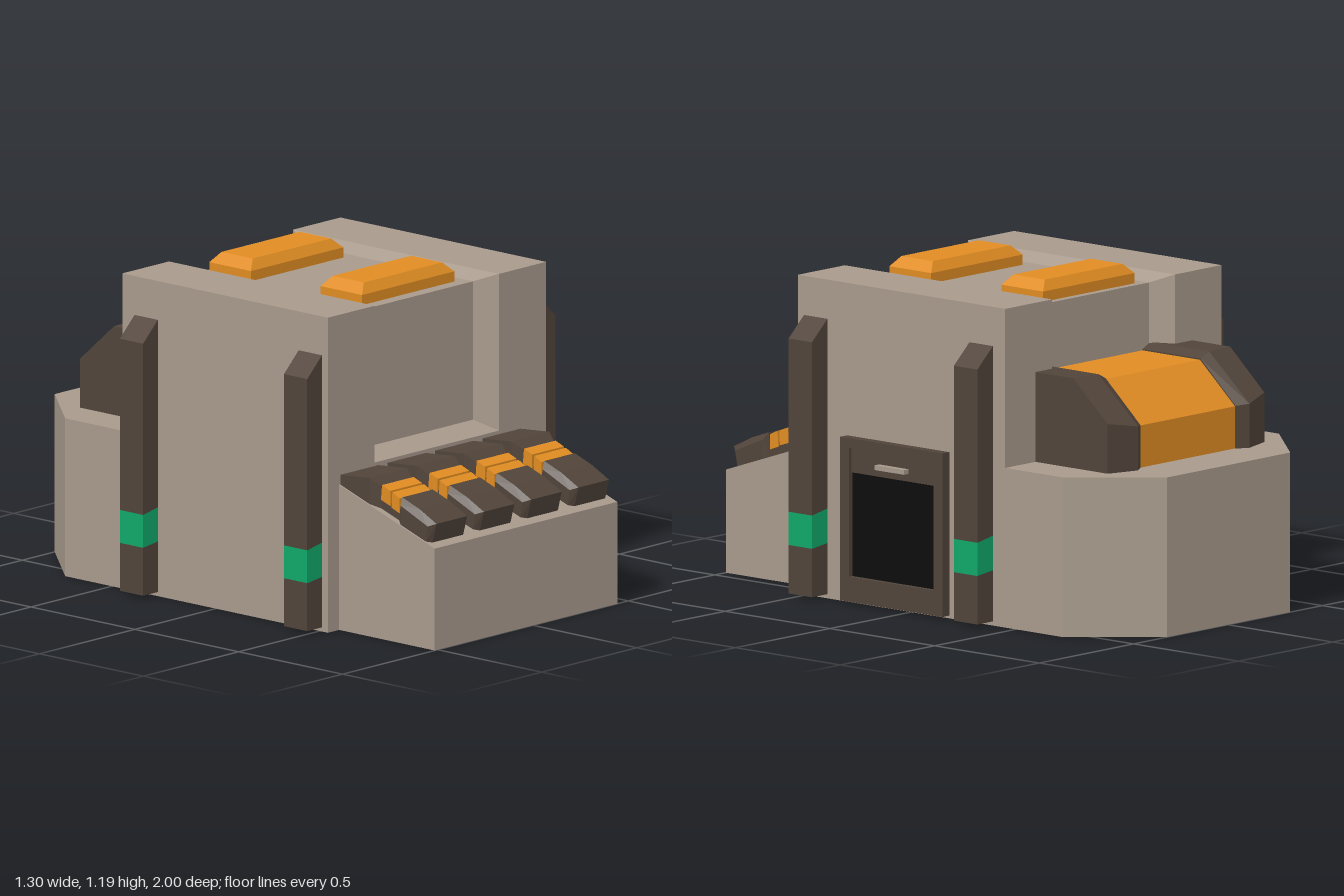
import * as THREE from 'three';
import { ConvexGeometry } from 'three/addons/geometries/ConvexGeometry.js';

const paint = (color) => new THREE.MeshStandardMaterial({ color });
const body = paint(0xa89a8c);
const dark = paint(0x51443a);
const orange = paint(0xe08c22);
const green = paint(0x10a869);
const black = paint(0x0c0c0c);

// Convex solid from [x, [[z, y], ...]] side profiles
function solid(name, mat, ...sections) {
  const pts = sections.flatMap(([x, prof]) => prof.map(([z, y]) => new THREE.Vector3(x, y, z)));
  const mesh = new THREE.Mesh(new ConvexGeometry(pts), mat);
  mesh.name = name;
  return mesh;
}

const rect = (z0, z1, y0, y1) => [[z0, y0], [z1, y0], [z1, y1], [z0, y1]];

function box(name, mat, x0, x1, y0, y1, z0, z1) {
  const mesh = new THREE.Mesh(new THREE.BoxGeometry(x1 - x0, y1 - y0, z1 - z0), mat);
  mesh.position.set((x0 + x1) / 2, (y0 + y1) / 2, (z0 + z1) / 2);
  mesh.name = name;
  return mesh;
}

// One sloped console unit: rear block, neck, two lit bars, front block
function consoleUnit(x) {
  const g = new THREE.Group();
  g.name = 'consoleUnit';
  const rear = [[0.54, 0.5], [0.54, 0.565], [0.68, 0.577], [0.68, 0.46]];
  const rearNose = [[0.72, 0.55], [0.72, 0.45]];
  const front = [[0.83, 0.41], [0.83, 0.5], [0.96, 0.445], [0.95, 0.385]];
  const frontNose = [[0.805, 0.42], [0.82, 0.525], [0.9, 0.497], [0.985, 0.455], [0.965, 0.382]];
  const neck = [[0.7, 0.45], [0.7, 0.52], [0.83, 0.475], [0.83, 0.41]];
  const bars = [
    [[0.72, 0.5], [0.725, 0.555], [0.765, 0.54], [0.765, 0.485]],
    [[0.77, 0.48], [0.775, 0.537], [0.81, 0.52], [0.81, 0.465]],
  ];
  g.add(
    solid('rearBlock', dark, [-0.1, rear], [-0.08, rearNose], [0.08, rearNose], [0.1, rear]),
    solid('neck', dark, [-0.08, neck], [0.08, neck]),
    solid('frontBlock', dark, [-0.1, front], [-0.08, frontNose], [0.08, frontNose], [0.1, front]),
  );
  for (const b of bars) g.add(solid('lightBar', orange, [-0.083, b], [0.083, b]));
  g.position.x = x;
  return g;
}

// Side pillar with a sloped cap and a green band
function pillar(side, z) {
  const g = new THREE.Group();
  g.name = 'pillar';
  const xIn = side > 0 ? 0.565 : -0.57;
  const xOut = side * 0.652;
  const piece = (name, mat, in0, in1, out0, out1) =>
    g.add(solid(name, mat,
      [xIn, rect(z - 0.056, z + 0.056, in0, in1)],
      [xOut, rect(z - 0.056, z + 0.056, out0, out1)]));
  piece('pillarFoot', dark, 0.015, 0.2, 0.015, 0.19);
  piece('pillarBand', green, 0.2, 0.325, 0.19, 0.31);
  piece('pillarShaft', dark, 0.325, 1.013, 0.31, 0.935);
  return g;
}

function door() {
  const g = new THREE.Group();
  g.name = 'door';
  const shape = new THREE.Shape([[-0.305, 0.01], [0.183, 0.01], [0.183, 0.6], [-0.305, 0.6]]
    .map((p) => new THREE.Vector2(...p)));
  shape.holes.push(new THREE.Path([[-0.263, 0.1], [-0.263, 0.565], [0.14, 0.565], [0.14, 0.1]]
    .map((p) => new THREE.Vector2(...p))));
  const frame = new THREE.Mesh(new THREE.ExtrudeGeometry(shape, { depth: 0.04, bevelEnabled: false }), dark);
  frame.rotation.y = Math.PI / 2;
  frame.position.x = 0.567;
  frame.name = 'doorFrame';
  g.add(
    frame,
    box('doorWindow', black, 0.56, 0.588, 0.1, 0.475, -0.14, 0.263),
    box('doorHeader', dark, 0.56, 0.594, 0.475, 0.565, -0.14, 0.263),
    box('doorHandle', body, 0.594, 0.618, 0.503, 0.52, -0.01, 0.13),
  );
  return g;
}

export function createModel() {
  const model = new THREE.Group();
  model.name = 'machineBuilding';

  // Side walls, bevelled towards the central groove
  for (const s of [1, -1]) {
    const shell = rect(-0.45, 0.54, 0, 1.15);
    const inner = rect(-0.36, 0.45, 0, 1.115);
    model.add(solid('sideWall', body,
      [s > 0 ? 0.57 : -0.575, shell], [s > 0 ? 0.322 : -0.33, shell], [s > 0 ? 0.285 : -0.292, inner]));
    for (const z of [0.455, -0.335]) model.add(pillar(s, z));
  }

  // Recessed centre and the sill below it
  model.add(box('centreBlock', body, -0.292, 0.285, 0.3, 1.115, -0.36, 0.45));
  const sill = [[0.54, 0], [0.54, 0.578], [0.45, 0.61], [-0.36, 0.61], [-0.45, 0.575], [-0.45, 0]];
  model.add(solid('sill', body, [-0.33, sill], [0.322, sill]));

  // Front console and its units
  const desk = [[0.53, 0], [0.53, 0.533], [1, 0.372], [1, 0]];
  model.add(solid('consoleBase', body, [-0.516, desk], [0.442, desk]));
  for (let i = 0; i < 4; i++) model.add(consoleUnit(-0.41 + i * 0.2483));

  // Rear base with cut corners
  const long = rect(-1, -0.44, 0, 0.576);
  const short = rect(-0.725, -0.44, 0, 0.576);
  model.add(solid('rearBase', body, [-0.575, short], [-0.33, long], [0.322, long], [0.57, short]));

  // Rear housing: orange cover between two dark cheeks
  const rear = new THREE.Group();
  rear.name = 'rearHousing';
  const hood = (z0, top, zTop, zEnd, yEnd) => [[z0, 0.57], [z0, top], [zTop, top], [zEnd, yEnd], [zEnd, 0.57]];
  const cover = hood(-0.355, 0.875, -0.635, -0.802, 0.728);
  rear.add(solid('rearCover', orange, [-0.255, cover], [0.255, cover]));
  for (const s of [1, -1]) {
    rear.add(solid('rearCheek', dark,
      [s * 0.415, hood(-0.44, 0.9, -0.632, -0.795, 0.755)],
      [s * 0.295, hood(-0.36, 0.9, -0.64, -0.832, 0.735)],
      [s * 0.252, hood(-0.36, 0.88, -0.637, -0.805, 0.73)]));
  }
  rear.position.x = -0.005;
  model.add(rear);

  // Roof pads with bevelled tops
  for (const z of [0.303, -0.232]) {
    const low = rect(z - 0.1, z + 0.1, 1.11, 1.152);
    const top = [[z - 0.075, 1.187], [z + 0.075, 1.187]];
    model.add(solid('roofPad', orange, [-0.247, low], [-0.21, top], [0.201, top], [0.238, low]));
  }

  model.add(door());
  return model;
}
